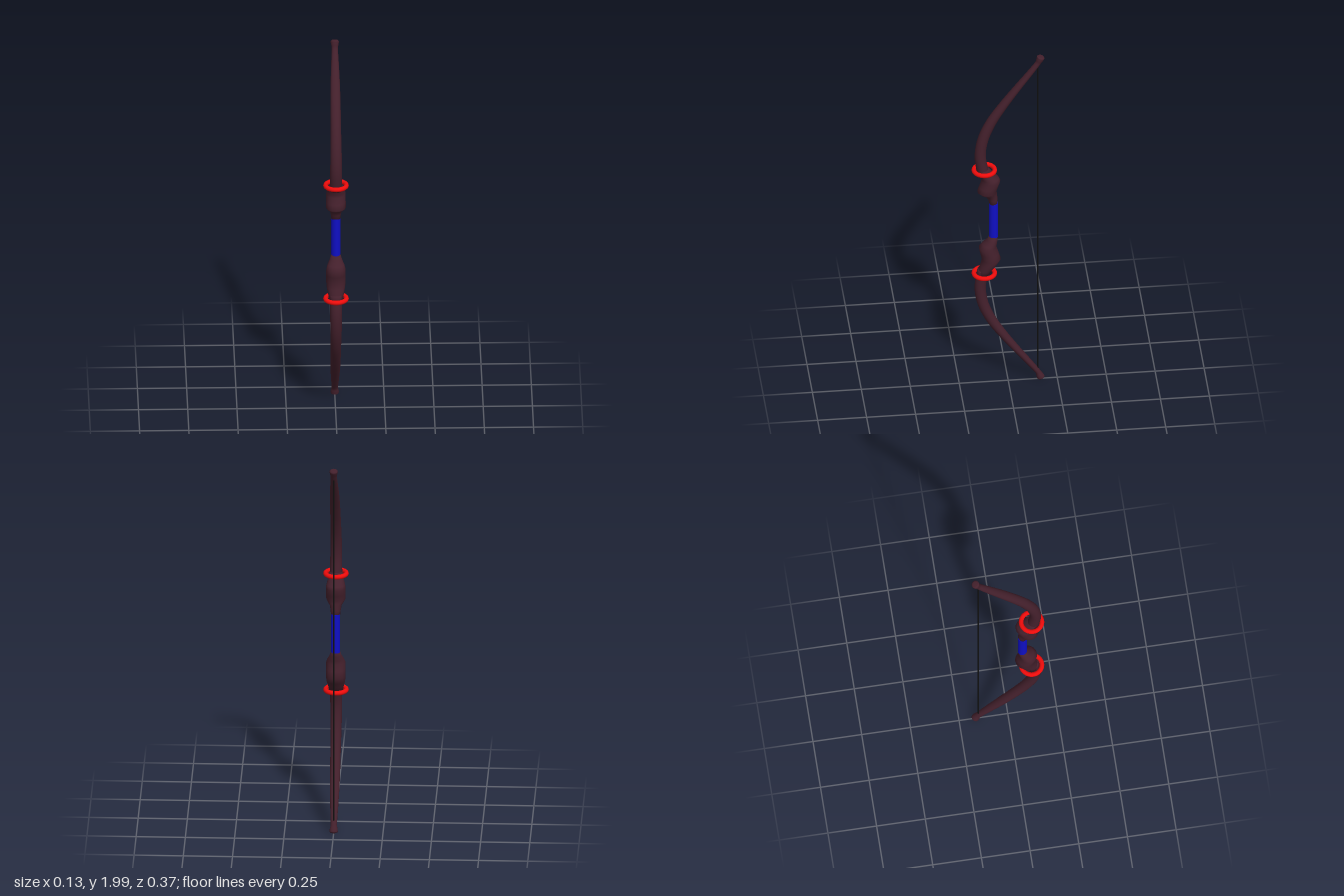
import * as THREE from 'three';

const material = (color) => new THREE.MeshStandardMaterial({ color });

// Skin oval sections [y, z, halfWidth, halfDepth], listed from low to high.
// With follow set, each section tilts square to the path.
function loft(rows, follow, sides = 16) {
  const pos = [], index = [];
  rows.forEach(([y, z, rx, rz], i) => {
    const a = rows[Math.max(i - 1, 0)], b = rows[Math.min(i + 1, rows.length - 1)];
    const tilt = follow ? Math.atan2(b[1] - a[1], b[0] - a[0]) : 0;
    for (let j = 0; j < sides; j++) {
      const t = (j / sides) * Math.PI * 2, d = Math.cos(t) * rz;
      pos.push(Math.sin(t) * rx, y - d * Math.sin(tilt), z + d * Math.cos(tilt));
    }
  });
  const n = rows.length;
  for (let i = 0; i < n - 1; i++) {
    for (let j = 0; j < sides; j++) {
      const k = (j + 1) % sides;
      const a = i * sides + j, b = i * sides + k, c = a + sides, d = b + sides;
      index.push(a, b, d, a, d, c);
    }
  }
  // End caps
  const base = n * sides, last = (n - 1) * sides;
  pos.push(0, rows[0][0], rows[0][1], 0, rows[n - 1][0], rows[n - 1][1]);
  for (let j = 0; j < sides; j++) {
    const k = (j + 1) % sides;
    index.push(base, k, j, base + 1, last + j, last + k);
  }
  const g = new THREE.BufferGeometry();
  g.setAttribute('position', new THREE.Float32BufferAttribute(pos, 3));
  g.setIndex(index);
  g.computeVertexNormals();
  return g;
}

// Smooth a few control rows into many
function refine(rows, steps) {
  const path = new THREE.CatmullRomCurve3(rows.map(([y, z]) => new THREE.Vector3(0, y, z)));
  const size = new THREE.CatmullRomCurve3(rows.map(([, , rx, rz]) => new THREE.Vector3(rx, rz, 0)));
  return Array.from({ length: steps + 1 }, (_, i) => {
    const p = path.getPoint(i / steps), s = size.getPoint(i / steps);
    return [p.y, p.z, s.x, s.y];
  });
}

export function createModel() {
  const group = new THREE.Group();
  const wood = material(0x44202c), red = material(0xee0c0c);
  const blue = material(0x0f0fc4), black = material(0x111111);
  const add = (name, geometry, mat, y = 0, z = 0) => {
    const mesh = new THREE.Mesh(geometry, mat);
    mesh.name = name;
    mesh.position.set(0, y, z);
    group.add(mesh);
    return mesh;
  };

  // Curved limbs, ending in small rounded knobs
  const limb = refine([
    [1.29, 0.128, 0.032, 0.03], [1.4, 0.143, 0.03, 0.029], [1.5, 0.129, 0.029, 0.028],
    [1.6, 0.089, 0.027, 0.026], [1.7, 0.028, 0.026, 0.022], [1.8, -0.042, 0.024, 0.018],
    [1.9, -0.115, 0.019, 0.015], [1.952, -0.151, 0.016, 0.014], [1.974, -0.161, 0.02, 0.018],
    [1.986, -0.166, 0.021, 0.02], [1.993, -0.168, 0.014, 0.013],
  ], 60);
  const lowerY = (y) => (0.676 * (2 - y)) / 0.688;
  const lowerLimb = limb.map(([y, ...rest]) => [lowerY(y), ...rest]).reverse();
  add('upperLimb', loft(limb, true), wood);
  add('lowerLimb', loft(lowerLimb, true), wood);

  // Swollen carved blocks between grip and limbs
  add('upperBlock', loft([
    [1.1, 0.075, 0.023, 0.022], [1.13, 0.078, 0.026, 0.024], [1.155, 0.087, 0.031, 0.03],
    [1.168, 0.1, 0.042, 0.042], [1.182, 0.109, 0.05, 0.049], [1.21, 0.1, 0.05, 0.048],
    [1.246, 0.088, 0.05, 0.048], [1.262, 0.093, 0.048, 0.044], [1.285, 0.108, 0.041, 0.036],
    [1.32, 0.128, 0.033, 0.031],
  ], false), wood);
  add('lowerBlock', loft([
    [0.668, 0.128, 0.034, 0.031], [0.7, 0.117, 0.04, 0.035], [0.73, 0.1, 0.047, 0.041],
    [0.765, 0.086, 0.05, 0.048], [0.8, 0.096, 0.05, 0.047], [0.835, 0.105, 0.049, 0.045],
    [0.855, 0.095, 0.043, 0.037], [0.88, 0.081, 0.031, 0.027], [0.905, 0.075, 0.023, 0.022],
  ], false), wood);

  // Straight grip
  add('grip', new THREE.CylinderGeometry(0.0235, 0.0235, 0.21, 16), blue, 1.005, 0.075);

  // Binding rings
  for (const [name, y] of [['upperRing', 1.312], ['lowerRing', 0.676]]) {
    add(name, new THREE.TorusGeometry(0.053, 0.012, 12, 40), red, y, 0.122).rotation.x = Math.PI / 2;
  }

  // Bowstring
  add('string', new THREE.CylinderGeometry(0.0035, 0.0035, 1.88, 8), black, 1.0, -0.151);
  return group;
}
